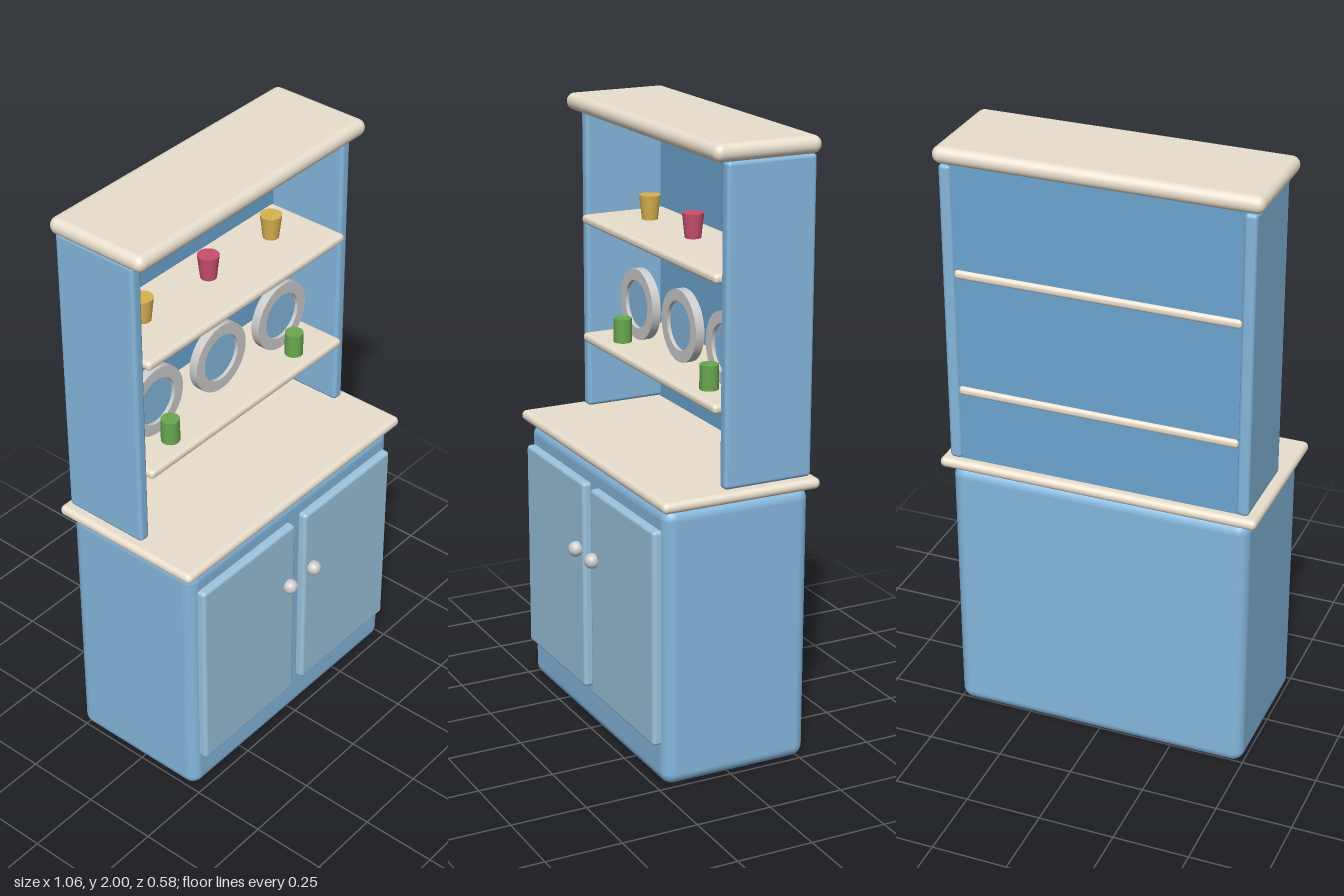
import * as THREE from 'three';
import { RoundedBoxGeometry } from 'three/addons/geometries/RoundedBoxGeometry.js';

const mat = (color) => new THREE.MeshStandardMaterial({ color });

export function createModel() {
  const group = new THREE.Group();
  const blue = mat(0x85b7dd), doorBlue = mat(0x9cc4de), backBlue = mat(0x6ca5d0);
  const cream = mat(0xeadfcd), grey = mat(0xcccccc);
  const yellow = mat(0xd9b250), red = mat(0xc94f6d), green = mat(0x6aa84f);

  const add = (name, geometry, material, x = 0, y = 0, z = 0) => {
    const mesh = new THREE.Mesh(geometry, material);
    mesh.name = name;
    mesh.position.set(x, y, z);
    group.add(mesh);
    return mesh;
  };
  // Rounded box given by its limits on each axis
  const box = (name, [x0, x1], [y0, y1], [z0, z1], radius, material) =>
    add(name, new RoundedBoxGeometry(x1 - x0, y1 - y0, z1 - z0, 4, radius), material,
      (x0 + x1) / 2, (y0 + y1) / 2, (z0 + z1) / 2);

  // Lower cabinet and worktop
  box('cabinet', [-0.5, 0.5], [0, 0.91], [-0.27, 0.23], 0.04, blue);
  box('worktop', [-0.53, 0.53], [0.91, 0.945], [-0.29, 0.25], 0.017, cream);

  // Upper hutch
  box('cornice', [-0.52, 0.52], [1.945, 2], [-0.28, 0.08], 0.027, cream);
  add('backPanel', new THREE.BoxGeometry(0.94, 1, 0.02), backBlue, 0, 1.445, -0.25);
  for (const y of [1.19, 1.59])
    box('shelf', [-0.462, 0.462], [y - 0.015, y + 0.015], [-0.27, 0.05], 0.013, cream);

  // Doors, knobs and hutch sides, mirrored
  for (const [side, s] of [['left', 1], ['right', -1]]) {
    const span = (a, b) => (s > 0 ? [a, b] : [-b, -a]);
    box(side + 'Door', span(0.025, 0.47), [0.135, 0.84], [0.22, 0.257], 0.012, doorBlue);
    add(side + 'Knob', new THREE.SphereGeometry(0.025, 24, 16), grey, s * 0.06, 0.61, 0.268);
    box(side + 'HutchSide', span(0.46, 0.5), [0.945, 1.945], [-0.27, 0.03], 0.013, blue);
  }

  // Plates: a flat rim around a recessed centre
  const rim = new THREE.LatheGeometry(
    [[0.08, -0.015], [0.118, -0.015], [0.118, 0.015], [0.08, 0.015], [0.08, -0.015]]
      .flatMap(([r, h], i, a) => {
        // doubled points keep the rim edges crisp
        const p = new THREE.Vector2(r, h);
        return i === 0 || i === a.length - 1 ? [p] : [p, p.clone()];
      }), 40);
  rim.rotateX(Math.PI / 2);
  const centre = new THREE.CylinderGeometry(0.082, 0.082, 0.015, 40).rotateX(Math.PI / 2);
  for (const x of [-0.3, 0, 0.3]) {
    add('plateRim', rim, grey, x, 1.325, -0.085);
    add('plateCentre', centre, blue, x, 1.325, -0.09);
  }

  // Cups on the shelves
  const tapered = new THREE.CylinderGeometry(0.035, 0.026, 0.08, 24);
  const straight = new THREE.CylinderGeometry(0.03, 0.03, 0.08, 24);
  for (const x of [-0.3, 0, 0.3])
    add('taperedCup', tapered, x === 0 ? red : yellow, x, 1.645, -0.12);
  for (const x of [-0.3, 0.3]) add('straightCup', straight, green, x, 1.245, -0.02);

  return group;
}
